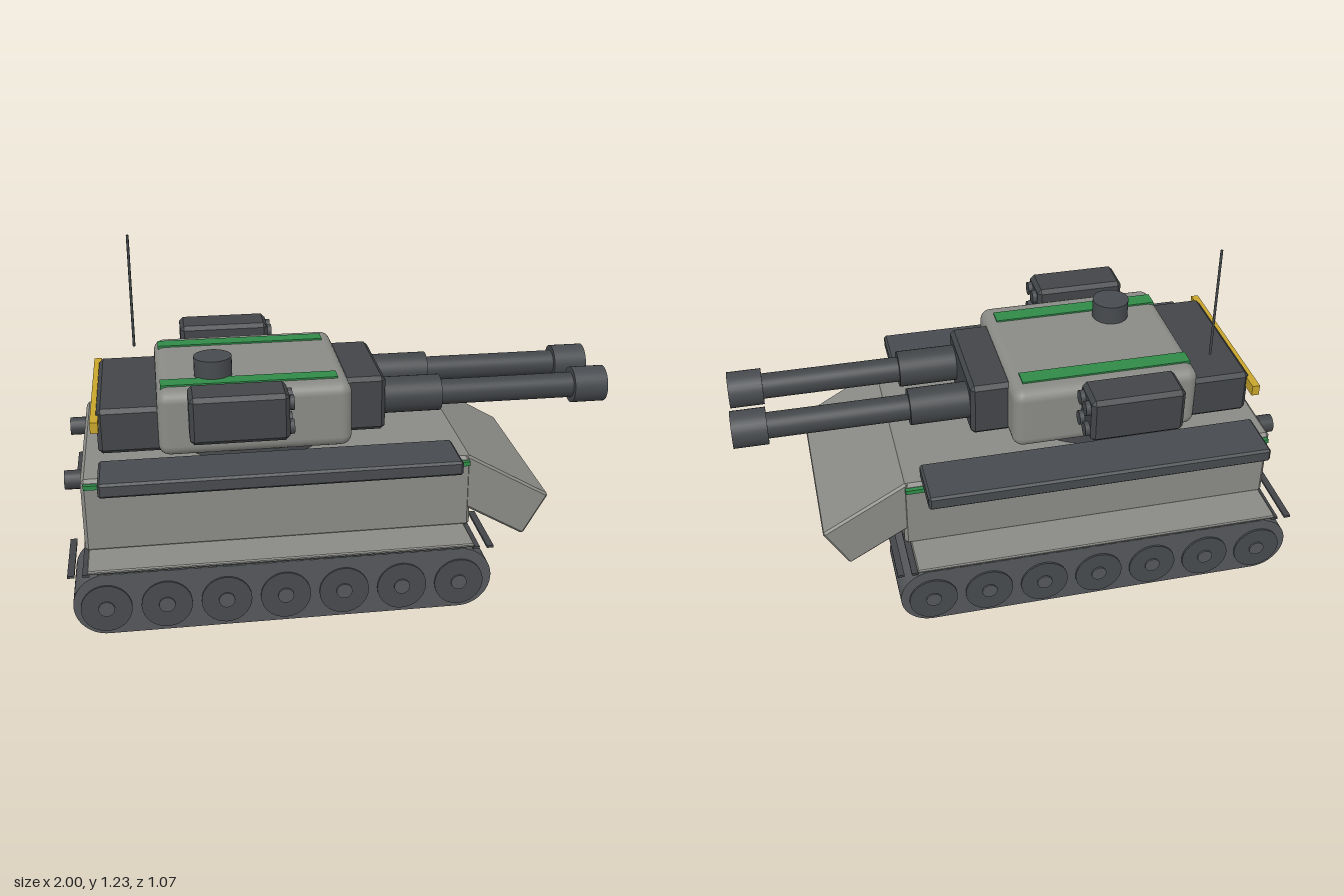
import * as THREE from 'three';
import { ConvexGeometry } from 'three/addons/geometries/ConvexGeometry.js';
import { RoundedBoxGeometry } from 'three/addons/geometries/RoundedBoxGeometry.js';

const paint = (color) => new THREE.MeshStandardMaterial({ color });
const hullGrey = paint(0x8a8a86);
const dark = paint(0x474a4e);
const trackGrey = paint(0x55575a);
const gunGrey = paint(0x424548);
const green = paint(0x2f8a48);
const yellow = paint(0xc8a52c);

// Box with chamfered edges
function chamferBox(w, h, d, c) {
  const points = [];
  for (const x of [-1, 1]) for (const y of [-1, 1]) for (const z of [-1, 1]) {
    const X = w / 2, Y = h / 2, Z = d / 2;
    points.push(
      new THREE.Vector3(x * X, y * (Y - c), z * (Z - c)),
      new THREE.Vector3(x * (X - c), y * Y, z * (Z - c)),
      new THREE.Vector3(x * (X - c), y * (Y - c), z * Z));
  }
  return new ConvexGeometry(points);
}

export function createModel() {
  const model = new THREE.Group();
  model.name = 'tank';

  const add = (name, geometry, material, x, y, z) => {
    const mesh = new THREE.Mesh(geometry, material);
    mesh.name = name;
    mesh.position.set(x, y, z);
    model.add(mesh);
    return mesh;
  };
  // Box given by its limits on each axis, chamfered when c > 0
  const box = (name, material, [x0, x1], [y0, y1], [z0, z1], c = 0) => {
    const w = x1 - x0, h = y1 - y0, d = z1 - z0;
    const geometry = c ? chamferBox(w, h, d, c) : new THREE.BoxGeometry(w, h, d);
    return add(name, geometry, material, (x0 + x1) / 2, (y0 + y1) / 2, (z0 + z1) / 2);
  };
  // Cylinder lying along x from x0 to x1
  const rod = (name, material, r, x0, x1, y, z, sides = 32) =>
    add(name, new THREE.CylinderGeometry(r, r, x1 - x0, sides).rotateZ(-Math.PI / 2),
      material, (x0 + x1) / 2, y, z);
  // Cylinder lying along z
  const disc = (name, material, r, depth, x, y, z) =>
    add(name, new THREE.CylinderGeometry(r, r, depth, 28).rotateX(Math.PI / 2), material, x, y, z);

  // Hull and sloped bow
  box('hull', hullGrey, [-0.94, 0.44], [0.245, 0.522], [-0.375, 0.375], 0.012);
  add('bowPlate', chamferBox(0.36, 0.18, 0.746, 0.008), hullGrey, 0.534, 0.36, 0)
    .rotation.z = -Math.PI / 6;

  // Track outline
  const r = 0.115, rear = -0.87, front = 0.37, axleY = 0.118;
  const outline = new THREE.Shape();
  outline.moveTo(rear, axleY - r);
  outline.lineTo(front, axleY - r);
  outline.absarc(front, axleY, r, -Math.PI / 2, Math.PI / 2, false);
  outline.lineTo(rear, axleY + r);
  outline.absarc(rear, axleY, r, Math.PI / 2, Math.PI * 1.5, false);
  const trackGeometry = new THREE.ExtrudeGeometry(outline,
    { depth: 0.272, bevelEnabled: false, curveSegments: 16 }).translate(0, 0, -0.136);

  for (const s of [1, -1]) {
    const span = (a, b) => (s > 0 ? [a, b] : [-b, -a]);

    // Running gear
    add('track', trackGeometry, trackGrey, 0, 0, s * 0.386);
    for (let i = 0; i < 7; i++) {
      const x = -0.873 + i * 0.2067;
      disc('roadWheel', dark, 0.088, 0.03, x, 0.105, s * 0.514);
      disc('wheelHub', trackGrey, 0.028, 0.03, x, 0.105, s * 0.52);
    }
    for (let i = 0; i < 30; i++) {
      const x = -0.985 + i * 0.0505;
      box('trackPad', gunGrey, [x - 0.012, x + 0.012], [0.229, 0.238], span(0.25, 0.522));
    }

    // Fender, side shelf and hull stripe
    box('fender', hullGrey, [-0.93, 0.42], [0.24, 0.253], span(0.36, 0.53), 0.004);
    box('sideShelf', dark, [-0.875, 0.37], [0.523, 0.575], span(0.33, 0.531), 0.008);
    box('hullStripe', green, [-0.93, 0.43], [0.492, 0.508], span(0.37, 0.391));

    // Exhaust
    rod('exhaust', gunGrey, 0.034, -1, -0.92, 0.47, s * 0.246, 16);

    // Turret stripe
    box('turretStripe', green, [-0.65, -0.025], [0.785, 0.803], span(0.179, 0.241));

    // Launcher pod with four tubes
    box('launcherPod', gunGrey, [-0.56, -0.22], [0.66, 0.83], span(0.308, 0.458), 0.015);
    for (const y of [0.698, 0.786]) for (const z of [0.349, 0.417])
      rod('launcherTube', dark, 0.026, -0.24, -0.203, y, s * z, 16);

    // Gun
    const gunZ = s * 0.124;
    rod('gunSleeve', gunGrey, 0.067, 0.14, 0.37, 0.677, gunZ);
    rod('gunBarrel', gunGrey, 0.047, 0.36, 0.89, 0.677, gunZ);
    rod('muzzle', dark, 0.067, 0.875, 1, 0.677, gunZ);
  }

  // Turret
  add('turretRing', new THREE.CylinderGeometry(0.29, 0.29, 0.045, 40), dark, -0.325, 0.541, 0);
  add('turret', new RoundedBoxGeometry(0.685, 0.24, 0.615, 3, 0.04), hullGrey, -0.323, 0.677, 0);
  box('turretBustle', gunGrey, [-0.875, -0.64], [0.57, 0.736], [-0.275, 0.275], 0.015);
  box('rearBar', yellow, [-0.895, -0.867], [0.675, 0.715], [-0.328, 0.328]);
  box('gunMantlet', gunGrey, [0, 0.155], [0.572, 0.778], [-0.206, 0.206], 0.015);

  // Roof fittings
  add('cupola', new THREE.CylinderGeometry(0.068, 0.068, 0.09, 28), dark, -0.46, 0.823, 0.137);
  add('antenna', new THREE.CylinderGeometry(0.005, 0.005, 0.43, 8), gunGrey, -0.738, 1.014, -0.208);

  return model;
}
